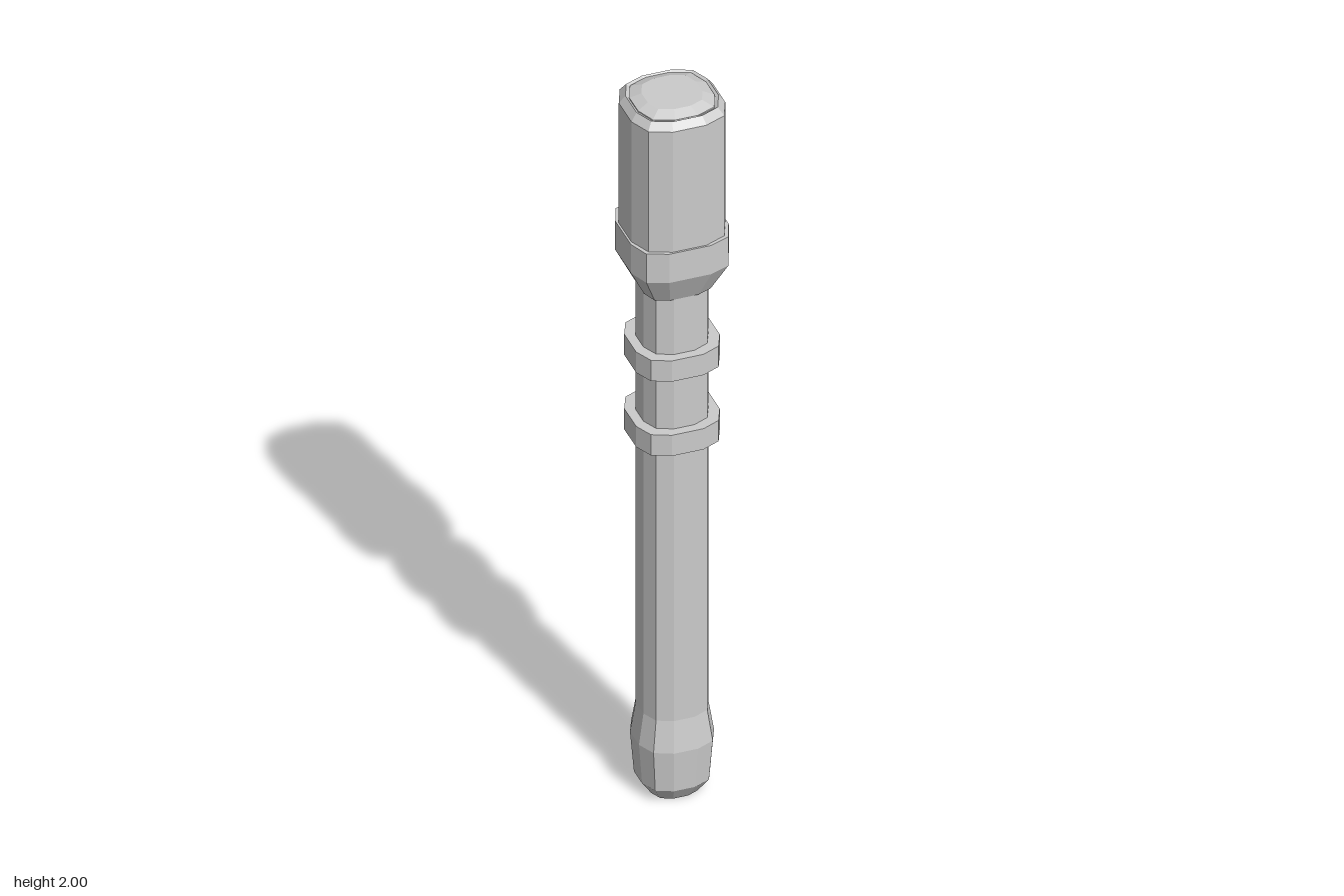
import * as THREE from 'three';

const material = new THREE.MeshStandardMaterial({ color: 0xcccccc, flatShading: true });

// Twelve-sided rounded square: flat = half-width of each flat side, corner = corner position
function section(radius, flat, corner) {
  const points = [];
  for (let q = 0; q < 4; q++) {
    const c = Math.round(Math.cos(q * Math.PI / 2)), s = Math.round(Math.sin(q * Math.PI / 2));
    for (const [x, z] of [[1, -flat], [1, flat], [corner, corner]]) {
      points.push([(x * c - z * s) * radius, (x * s + z * c) * radius]);
    }
  }
  return points;
}

// Lofts [radius, y] levels into a closed solid
function loft(name, levels, flat = 0.32, corner = 0.79) {
  const positions = [], index = [], n = 12, last = levels.length - 1;
  for (const [radius, y] of levels) {
    for (const [x, z] of section(radius, flat, corner)) positions.push(x, y, z);
  }
  const bottom = positions.length / 3, top = bottom + 1;
  positions.push(0, levels[0][1], 0, 0, levels[last][1], 0);
  for (let i = 0; i < n; i++) {
    const j = (i + 1) % n;
    for (let k = 0; k < last; k++) {
      const a = k * n + i, b = k * n + j;
      index.push(a, a + n, b, b, a + n, b + n);
    }
    index.push(bottom, i, j, top, last * n + j, last * n + i);
  }
  const geometry = new THREE.BufferGeometry();
  geometry.setAttribute('position', new THREE.Float32BufferAttribute(positions, 3));
  geometry.setIndex(index);
  geometry.computeVertexNormals();
  const mesh = new THREE.Mesh(geometry, material);
  mesh.name = name;
  return mesh;
}

export function createModel() {
  const model = new THREE.Group();
  model.name = 'batonHandle';

  // Slim shaft with a flared, rounded foot
  model.add(loft('shaft', [
    [0.06, 0], [0.087, 0.04], [0.096, 0.155], [0.083, 0.24], [0.083, 1.48],
  ]));

  // Two grip rings
  for (const [name, y] of [['lowerRing', 1.025], ['upperRing', 1.24]]) {
    model.add(loft(name, [[0.107, y], [0.107, y + 0.06]], 0.38, 0.81));
  }

  // Tapered collar under the head
  model.add(loft('collar', [[0.085, 1.46], [0.125, 1.54], [0.125, 1.623]], 0.43, 0.84));

  // Head with bevelled rim
  model.add(loft('head', [[0.12, 1.6], [0.12, 1.97], [0.105, 1.99], [0.098, 1.985]], 0.36, 0.81));

  // Shallow domed end cap
  model.add(loft('endCap', [[0.099, 1.975], [0.098, 1.988], [0.07, 2]], 0.3, 0.8));
  return model;
}
